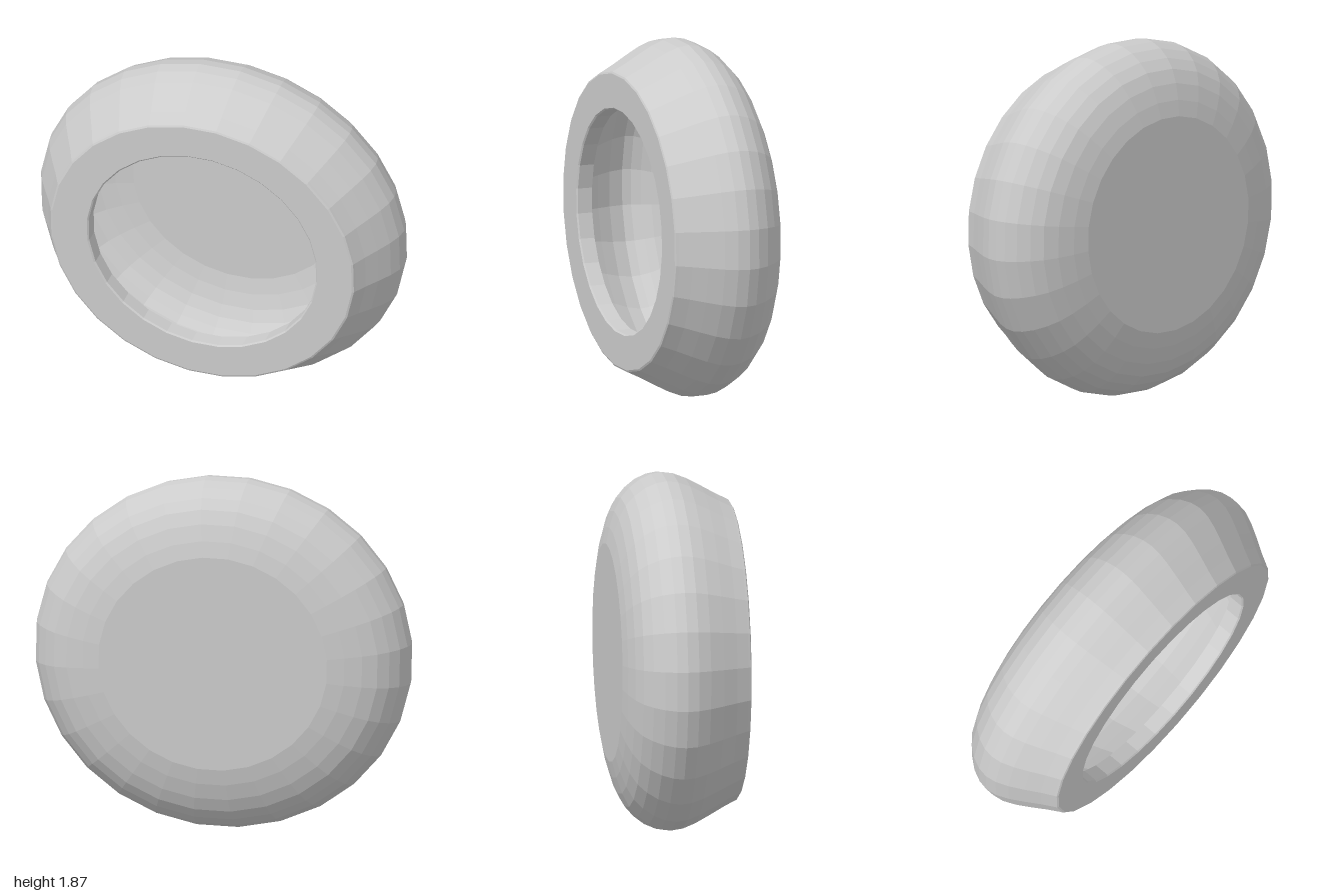
import * as THREE from 'three';

const SIDES = 28;
const SQUASH = 0.936; // height relative to width
const PHASE = 0.134;  // turn of the facets about the axis

// Closed wall profile as [radius, depth], from the back centre round to the inner floor
const profile = [
  // back and bulging outside
  [0, -0.325], [0.61, -0.325], [0.7, -0.307], [0.79, -0.28], [0.865, -0.245],
  [0.92, -0.2], [0.965, -0.145], [0.993, -0.085], [1.003, -0.03], [0.994, 0.03],
  [0.967, 0.095], [0.925, 0.17], [0.88, 0.245], [0.846, 0.308], [0.84, 0.32],
  // flat front rim and the lip of the opening
  [0.83, 0.325], [0.638, 0.325], [0.63, 0.318], [0.63, 0.24],
  // hollow inside, following the outer wall
  [0.77, 0.235], [0.835, 0.13], [0.88, 0.05], [0.905, -0.03], [0.895, -0.075],
  [0.865, -0.12], [0.82, -0.16], [0.755, -0.192], [0.67, -0.217], [0.575, -0.235],
  [0, -0.235],
];

export function createModel() {
  const model = new THREE.Group();
  model.name = 'hollowRoundShell';

  const geometry = new THREE.LatheGeometry(
    profile.map(([r, z]) => new THREE.Vector2(r, z)), SIDES, PHASE);
  geometry.rotateX(Math.PI / 2); // axis to the front
  geometry.scale(1, SQUASH, 1);
  geometry.computeBoundingBox();
  geometry.translate(0, -geometry.boundingBox.min.y, 0);

  const shell = new THREE.Mesh(geometry,
    new THREE.MeshStandardMaterial({ color: 0xcccccc, flatShading: true }));
  shell.name = 'shell';
  model.add(shell);
  return model;
}
